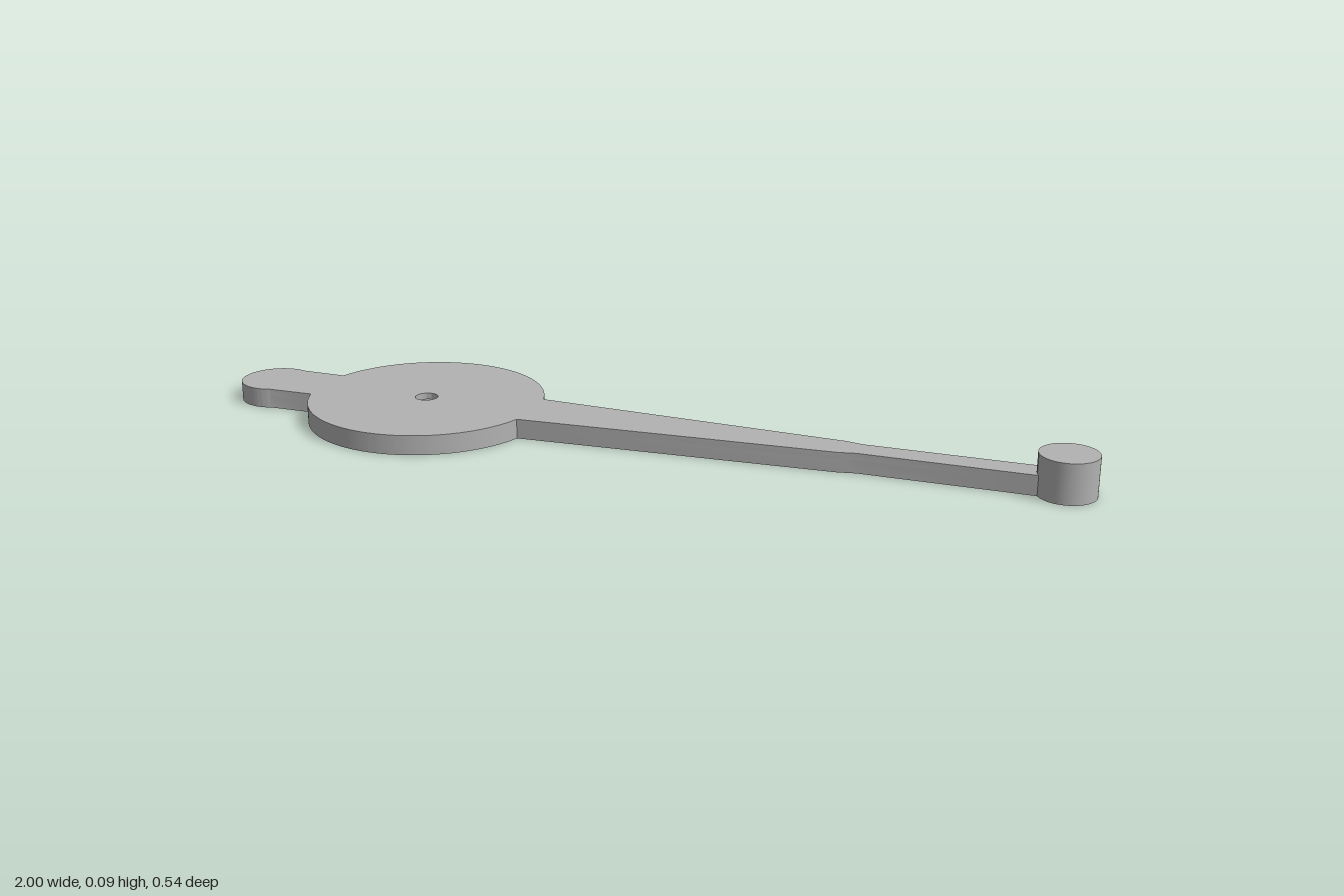
import * as THREE from 'three';
import { toCreasedNormals } from 'three/addons/utils/BufferGeometryUtils.js';

const HUB_X = -0.52, PIN_X = 0.937, PIN_R = 0.063;
const THICK = 0.045, RECESS = 0.03;

// Outline of counterweight, disc and tapering arm
function plateOutline() {
  const R = 0.272, PI = Math.PI;
  const armA = Math.asin(0.076 / R);
  const tailX = -0.917, tailR = 0.083, tailA = Math.asin(0.078 / tailR);
  const endX = PIN_X - 0.055;
  const s = new THREE.Shape();
  s.moveTo(endX, -0.03);
  s.lineTo(endX, 0.03);
  s.lineTo(0.503, 0.03);
  s.lineTo(0.465, 0.038);
  s.absarc(HUB_X, 0, R, armA, PI - armA, false);
  s.absarc(tailX, 0, tailR, tailA, 2 * PI - tailA, false);
  s.absarc(HUB_X, 0, R, PI + armA, 2 * PI - armA, false);
  s.lineTo(0.465, -0.038);
  s.lineTo(0.503, -0.03);
  s.closePath();
  return s;
}

// Tapered slot with round ends, wide at the hub
function slotPath() {
  const r1 = 0.067, r2 = 0.034, d = 0.33;
  const a = Math.acos((r1 - r2) / d);
  const p = new THREE.Path();
  p.absarc(HUB_X, 0, r1, a, 2 * Math.PI - a, false);
  p.absarc(HUB_X + d, 0, r2, -a, a, false);
  p.closePath();
  return p;
}

function layer(name, hole, y0, y1, material) {
  const shape = plateOutline();
  shape.holes.push(hole);
  const geo = new THREE.ExtrudeGeometry(shape, { depth: y1 - y0, bevelEnabled: false, curveSegments: 40 });
  geo.rotateX(-Math.PI / 2).translate(0, y0, 0);
  const mesh = new THREE.Mesh(toCreasedNormals(geo, 0.4), material);
  mesh.name = name;
  return mesh;
}

export function createModel() {
  const grey = new THREE.MeshStandardMaterial({ color: 0xb2b2b2 });
  grey.name = 'light grey';
  const model = new THREE.Group();
  model.name = 'pointerArm';

  // Lower layer carries the recess, upper layer the shaft hole
  const shaftHole = new THREE.Path().absarc(HUB_X, 0, 0.026, 0, Math.PI * 2, false);
  model.add(layer('recessedPlate', slotPath(), 0, RECESS, grey));
  model.add(layer('topPlate', shaftHole, RECESS, THICK, grey));

  // Upright pin at the arm's tip
  const pin = new THREE.Mesh(new THREE.CylinderGeometry(PIN_R, PIN_R, 0.09, 64), grey);
  pin.name = 'tipPin';
  pin.position.set(PIN_X, 0.045, 0);
  model.add(pin);
  return model;
}
